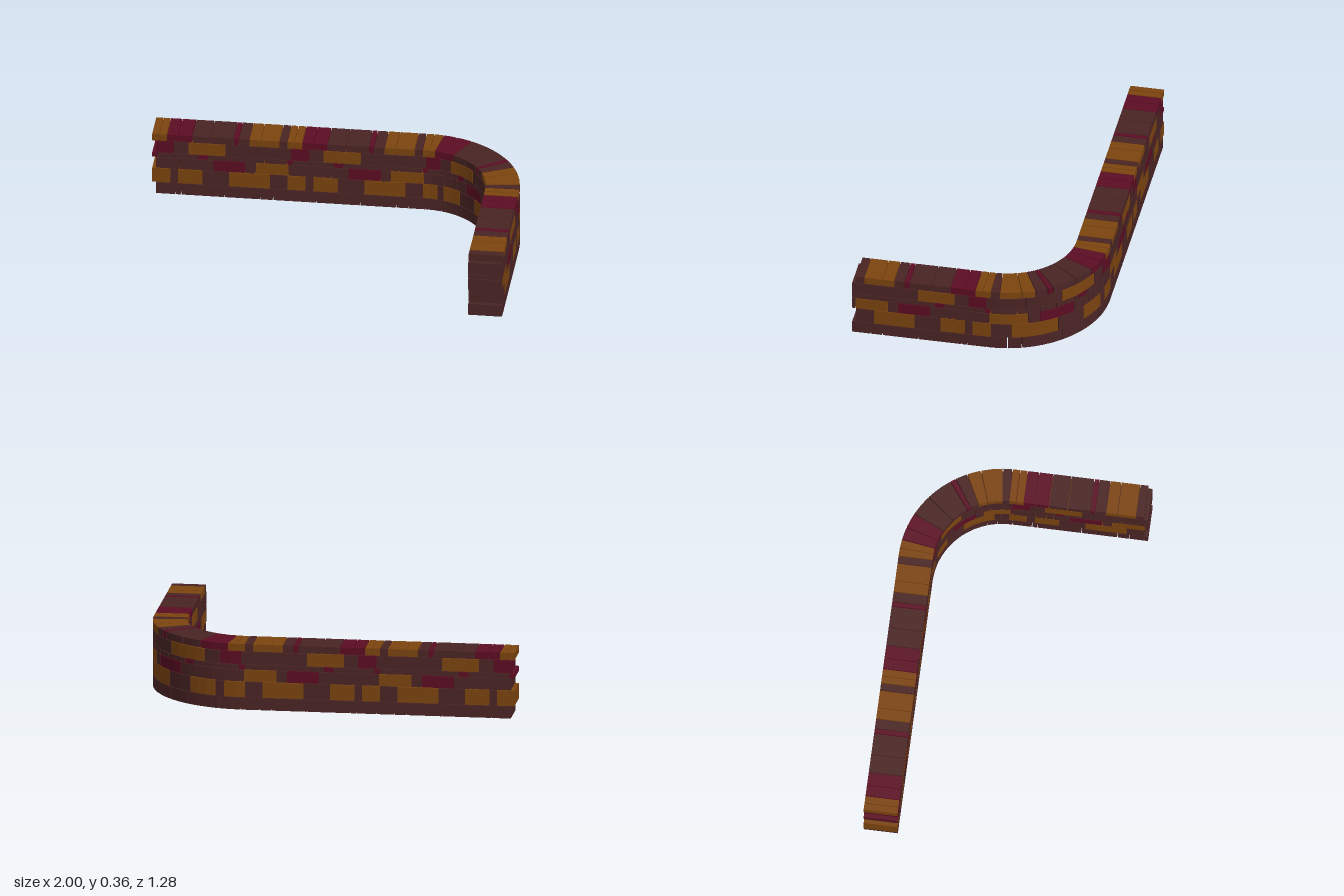
import * as THREE from 'three';

const mat = (name, color) => {
  const m = new THREE.MeshStandardMaterial({ color });
  m.name = name;
  return m;
};

// The wall runs straight, bends a quarter turn, then runs straight again
const STRAIGHT = 1.45, RADIUS = 0.46, CX = 0.45, CZ = -0.09, DEPTH = 0.18;
const ARC = RADIUS * Math.PI / 2;
const MODULE = 0.7206, REPEATS = 4, GAP = 0.004;

// Courses from the ground up: joints along one module and a colour letter per brick
// (b brown, o ochre, c crimson)
const COURSES = [
  { name: 'baseCourse', y: [0, 0.065], joints: [0.02, 0.124, 0.155, 0.388, 0.58, 0.645, 0.741], colors: 'bbbbbb' },
  { name: 'secondCourse', y: [0.068, 0.151], joints: [0, 0.097, 0.138, 0.268, 0.409, 0.628, 0.662, 0.7206], colors: 'obobobb' },
  { name: 'thirdCourse', y: [0.154, 0.216], joints: [0.02, 0.145, 0.2, 0.237, 0.326, 0.498, 0.552, 0.727, 0.741], colors: 'bbbbcbob' },
  { name: 'thinCourse', y: [0.219, 0.244], joints: [0, 0.03, 0.104, 0.138, 0.2, 0.248, 0.299, 0.32, 0.367, 0.419, 0.498, 0.6, 0.7206], colors: 'cbbbbcbbbbbb', tail: 0.02 },
  { name: 'fifthCourse', y: [0.247, 0.315], joints: [0.02, 0.117, 0.193, 0.391, 0.563, 0.696, 0.741], colors: 'cbobbb' },
  { name: 'copingCourse', y: [0.318, 0.357], joints: [0, 0.039, 0.08, 0.141, 0.214, 0.314, 0.435, 0.462, 0.518, 0.58, 0.679, 0.7206], colors: 'ooccbbcboob' },
];

// Maps distance along the wall and sideways offset to a ground position
function place(s, d) {
  if (s <= STRAIGHT) return [s - 1, CZ - RADIUS + d];
  if (s >= STRAIGHT + ARC) return [CX + RADIUS - d, CZ + s - STRAIGHT - ARC];
  const a = (s - STRAIGHT) / RADIUS;
  return [CX + (RADIUS - d) * Math.sin(a), CZ - (RADIUS - d) * Math.cos(a)];
}

// One brick, bent along the wall path
function brickGeometry(s0, s1, y0, y1) {
  const bends = s1 > STRAIGHT && s0 < STRAIGHT + ARC;
  const segments = bends ? Math.max(1, Math.ceil((s1 - s0) / 0.05)) : 1;
  const box = new THREE.BoxGeometry(s1 - s0, y1 - y0, DEPTH, segments, 1, 1);
  box.translate((s0 + s1) / 2, (y0 + y1) / 2, 0);
  const geo = box.toNonIndexed();
  const p = geo.attributes.position;
  for (let i = 0; i < p.count; i++) {
    const [x, z] = place(p.getX(i), p.getZ(i));
    p.setXYZ(i, x, p.getY(i), z);
  }
  geo.computeVertexNormals();
  return geo;
}

export function createModel() {
  const wall = new THREE.Group();
  wall.name = 'brickWall';
  const materials = {
    b: mat('brown brick', 0x4a2424),
    o: mat('ochre brick', 0x7c440e),
    c: mat('crimson brick', 0x5c0d23),
  };

  for (const { name, y, joints, colors, tail = 0 } of COURSES) {
    const course = new THREE.Group();
    course.name = name;
    for (let r = 0; r < REPEATS; r++) {
      for (let i = 0; i < colors.length; i++) {
        const last = r === REPEATS - 1 && i === colors.length - 1;
        const s0 = r * MODULE + joints[i];
        const s1 = r * MODULE + joints[i + 1] + (last ? tail : -GAP);
        const brick = new THREE.Mesh(brickGeometry(s0, s1, y[0], y[1]), materials[colors[i]]);
        brick.name = 'brick';
        course.add(brick);
      }
    }
    wall.add(course);
  }
  return wall;
}
